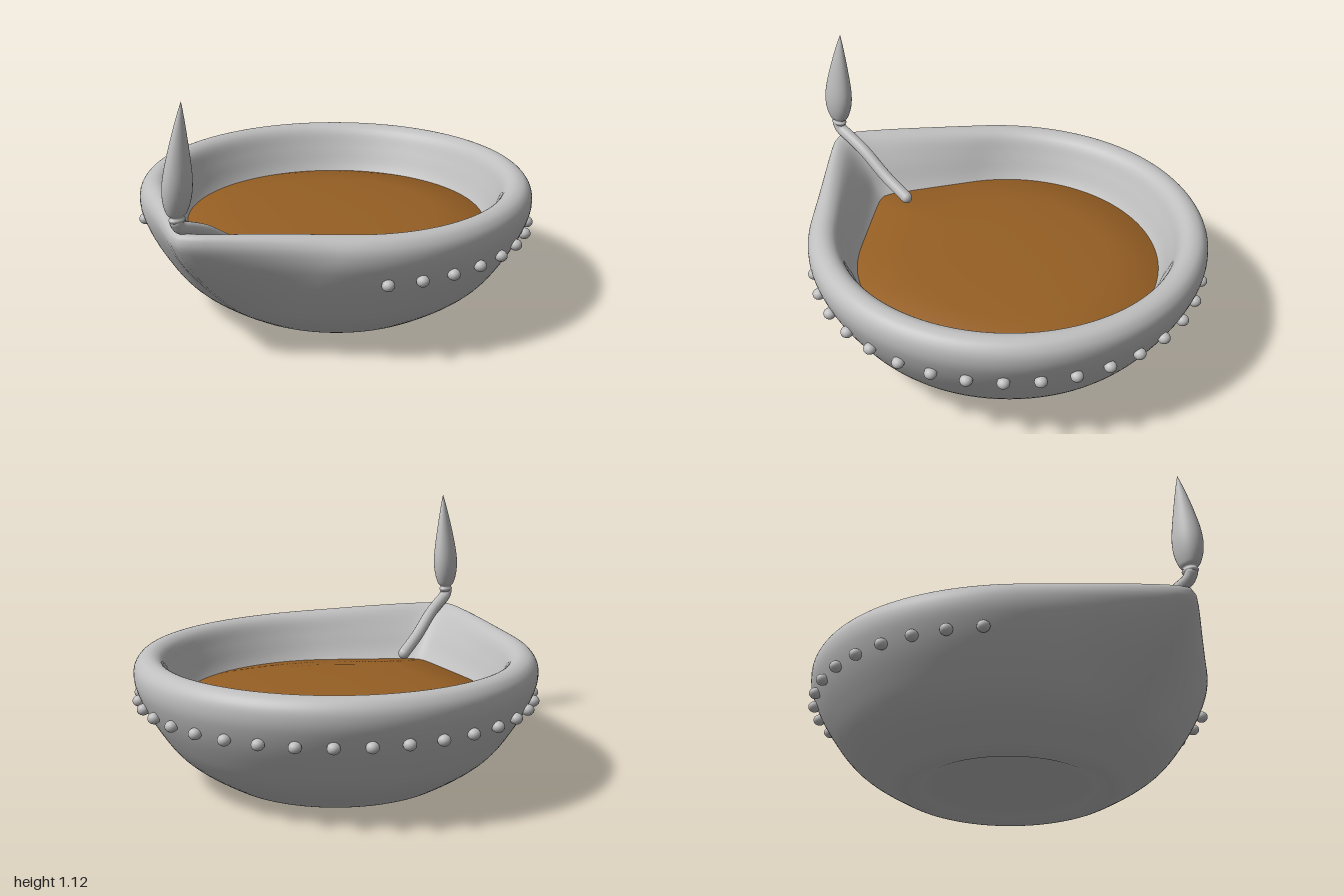
import * as THREE from 'three';

const CX = 0.12; // centre of the round part of the bowl

const clay = new THREE.MeshStandardMaterial({ color: 0xbfbfbf });
clay.name = 'grey clay';
const oilBrown = new THREE.MeshStandardMaterial({ color: 0x965f24 });
oilBrown.name = 'brown oil';

// Teardrop outline: a circle of radius R with tangents meeting at distance T towards -x
function teardrop(theta, R, T) {
  const phi = Math.sqrt(Math.pow(Math.PI - theta, 2) + 0.0016);
  const touch = T > R && R > 0 ? Math.acos(R / T) : 0;
  return phi < touch ? R / Math.cos(touch - phi) : R;
}

// Smooth surface from teardrop cross-sections; each section is (R, y, T)
function teardropSurface(sections, lift, n = 128) {
  const pos = [], index = [];
  sections.forEach((s) => {
    for (let i = 0; i < n; i++) {
      const theta = (i / n) * Math.PI * 2;
      const r = teardrop(theta, s.x, s.z);
      const rise = lift * Math.pow(Math.max(0, -Math.cos(theta)), 4) * Math.pow(Math.max(0, s.y) / 0.56, 2);
      pos.push(CX + r * Math.cos(theta), s.y + rise, r * Math.sin(theta));
    }
  });
  for (let j = 0; j < sections.length - 1; j++) {
    for (let i = 0; i < n; i++) {
      const k = (i + 1) % n;
      const a = j * n + i, b = j * n + k, c = a + n, d = b + n;
      index.push(a, c, b, b, c, d);
    }
  }
  const g = new THREE.BufferGeometry();
  g.setAttribute('position', new THREE.Float32BufferAttribute(pos, 3));
  g.setIndex(index);
  g.computeVertexNormals();
  return g;
}

const toSections = (rows) => rows.map(([R, y, T]) => new THREE.Vector3(R, y, T));

export function createModel() {
  const lamp = new THREE.Group();
  lamp.name = 'oilLamp';
  const add = (name, geometry, material, parent = lamp) => {
    const mesh = new THREE.Mesh(geometry, material);
    mesh.name = name;
    parent.add(mesh);
    return mesh;
  };

  // Bowl: dished foot, outer wall, rounded rim, inner wall and floor
  const profile = new THREE.CatmullRomCurve3(toSections([
    [0, 0.03, 0], [0.34, 0.025, 0.34], [0.4, 0.005, 0.4], [0.455, 0, 0.45],
    [0.53, 0.035, 0.53], [0.68, 0.14, 0.7], [0.78, 0.27, 0.86], [0.84, 0.38, 0.98],
    [0.865, 0.46, 1.05], [0.86, 0.515, 1.085], [0.835, 0.548, 1.085], [0.795, 0.56, 1.06],
    [0.75, 0.54, 1.0], [0.71, 0.46, 0.9], [0.66, 0.355, 0.8], [0.55, 0.25, 0.62], [0, 0.2, 0],
  ]), false, 'centripetal');
  add('bowl', teardropSurface(profile.getPoints(80), 0.028), clay);

  // Oil: gently domed pool with a rolled edge
  add('oil', teardropSurface(toSections([
    [0.67, 0.3, 0.8], [0.675, 0.355, 0.81], [0.45, 0.383, 0.52], [0.2, 0.39, 0.2], [0, 0.39, 0],
  ]), 0), oilBrown);

  // Beads around the round part of the bowl
  const beads = new THREE.Group();
  beads.name = 'beads';
  lamp.add(beads);
  const beadGeometry = new THREE.SphereGeometry(0.027, 16, 12);
  for (let deg = -130; deg <= 130; deg += 10) {
    const a = THREE.MathUtils.degToRad(deg);
    const bead = add('bead', beadGeometry, clay, beads);
    bead.position.set(CX + 0.847 * Math.cos(a), 0.368, 0.847 * Math.sin(a));
    bead.scale.y = 0.9;
  }

  // Wick: lies over the spout and dips to the oil
  const wickPath = new THREE.CatmullRomCurve3([
    [-0.935, 0.645], [-0.92, 0.622], [-0.86, 0.598], [-0.77, 0.56], [-0.63, 0.475], [-0.5, 0.415],
  ].map(([x, y]) => new THREE.Vector3(x, y, 0)));
  add('wick', new THREE.TubeGeometry(wickPath, 40, 0.027, 14, false), clay);
  const wickEnd = add('wickEnd', new THREE.SphereGeometry(0.027, 14, 10), clay);
  wickEnd.position.copy(wickPath.getPoint(1));
  wickEnd.scale.setScalar(0.98);
  const wickTop = add('wickTop', new THREE.SphereGeometry(0.027, 14, 10), clay);
  wickTop.position.copy(wickPath.getPoint(0));

  // Flame: flattened teardrop on a small collar, leaning towards the bowl
  const flameCurve = new THREE.SplineCurve([
    [0.028, 0.64], [0.038, 0.655], [0.032, 0.668], [0.048, 0.685], [0.064, 0.73], [0.07, 0.785],
    [0.064, 0.85], [0.044, 0.95], [0.02, 1.05], [0, 1.12],
  ].map(([r, y]) => new THREE.Vector2(r, y)));
  const flamePoints = flameCurve.getPoints(48).map((p) => new THREE.Vector2(Math.max(0, p.x), p.y));
  const flame = new THREE.LatheGeometry([new THREE.Vector2(0, 0.64), ...flamePoints], 32);
  flame.scale(1, 1, 0.74);
  const p = flame.attributes.position;
  for (let i = 0; i < p.count; i++) {
    const t = Math.max(0, (p.getY(i) - 0.66) / 0.46);
    p.setX(i, p.getX(i) - 0.93 + 0.043 * Math.pow(t, 1.5));
  }
  add('flame', flame, clay);

  return lamp;
}
